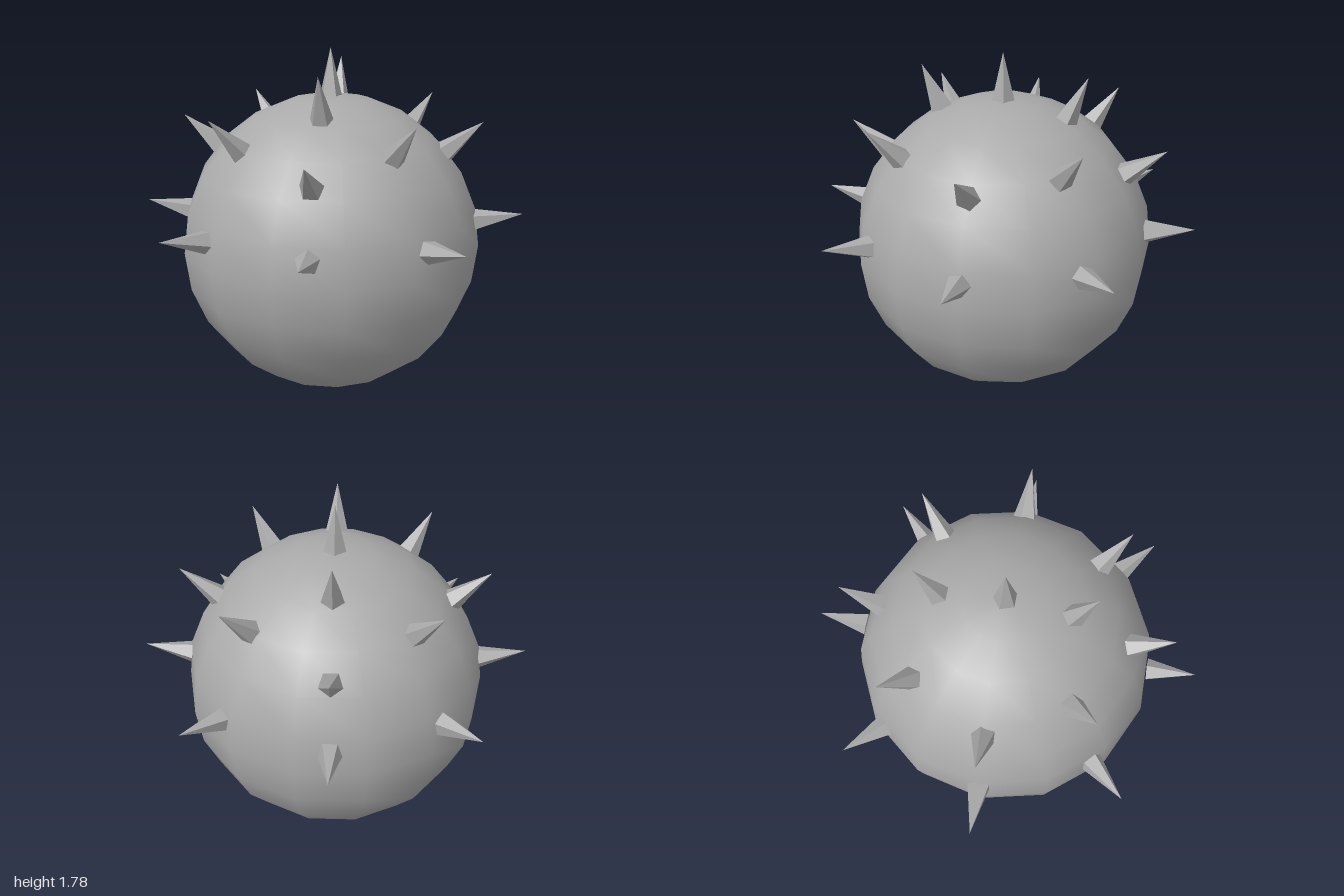
import * as THREE from 'three';

const R = 0.775, CENTRE_Y = 0.778;
const SPIKE_RADIUS = 0.06, SPIKE_BASE = 0.76, SPIKE_TIP = 1.007;

export function createModel() {
  const grey = new THREE.MeshStandardMaterial({ color: 0xaaaaaa });
  grey.name = 'grey';
  const model = new THREE.Group();
  model.name = 'spikedBall';

  // Smooth ball with a coarse outline
  const ball = new THREE.Mesh(new THREE.SphereGeometry(R, 14, 12), grey);
  ball.name = 'ball';
  ball.position.y = CENTRE_Y;
  model.add(ball);

  // Faceted five-sided spike, base a little under the surface, pointing along +y
  const height = SPIKE_TIP - SPIKE_BASE;
  const cone = new THREE.ConeGeometry(SPIKE_RADIUS, height, 5, 1, false, Math.PI)
    .translate(0, SPIKE_BASE + height / 2, 0)
    .toNonIndexed();
  cone.computeVertexNormals();

  const spikes = new THREE.Group();
  spikes.name = 'spikes';
  spikes.position.y = CENTRE_Y;
  model.add(spikes);

  const up = new THREE.Vector3(0, 1, 0);
  const addSpike = (x, y, z) => {
    const spike = new THREE.Mesh(cone, grey);
    spike.name = 'spike';
    spike.quaternion.setFromUnitVectors(up, new THREE.Vector3(x, y, z).normalize());
    spikes.add(spike);
  };

  // Crown spike
  addSpike(0, 1, 0);

  // Ring just above the equator
  for (let i = 0; i < 8; i++) {
    const a = (i * Math.PI) / 4;
    addSpike(Math.sin(a), 0.182, Math.cos(a));
  }

  // Upper spikes, mirrored in pairs
  for (const s of [-1, 1]) {
    addSpike(0, 0.91, s * 0.42);
    addSpike(0, 0.58, s * 0.82);
    addSpike(s * 0.77, 0.65, 0);
    addSpike(s * 0.5, 0.715, -0.5);
  }
  addSpike(-0.5, 0.715, 0.5);
  addSpike(0.46, 0.715, 0.54);

  return model;
}
